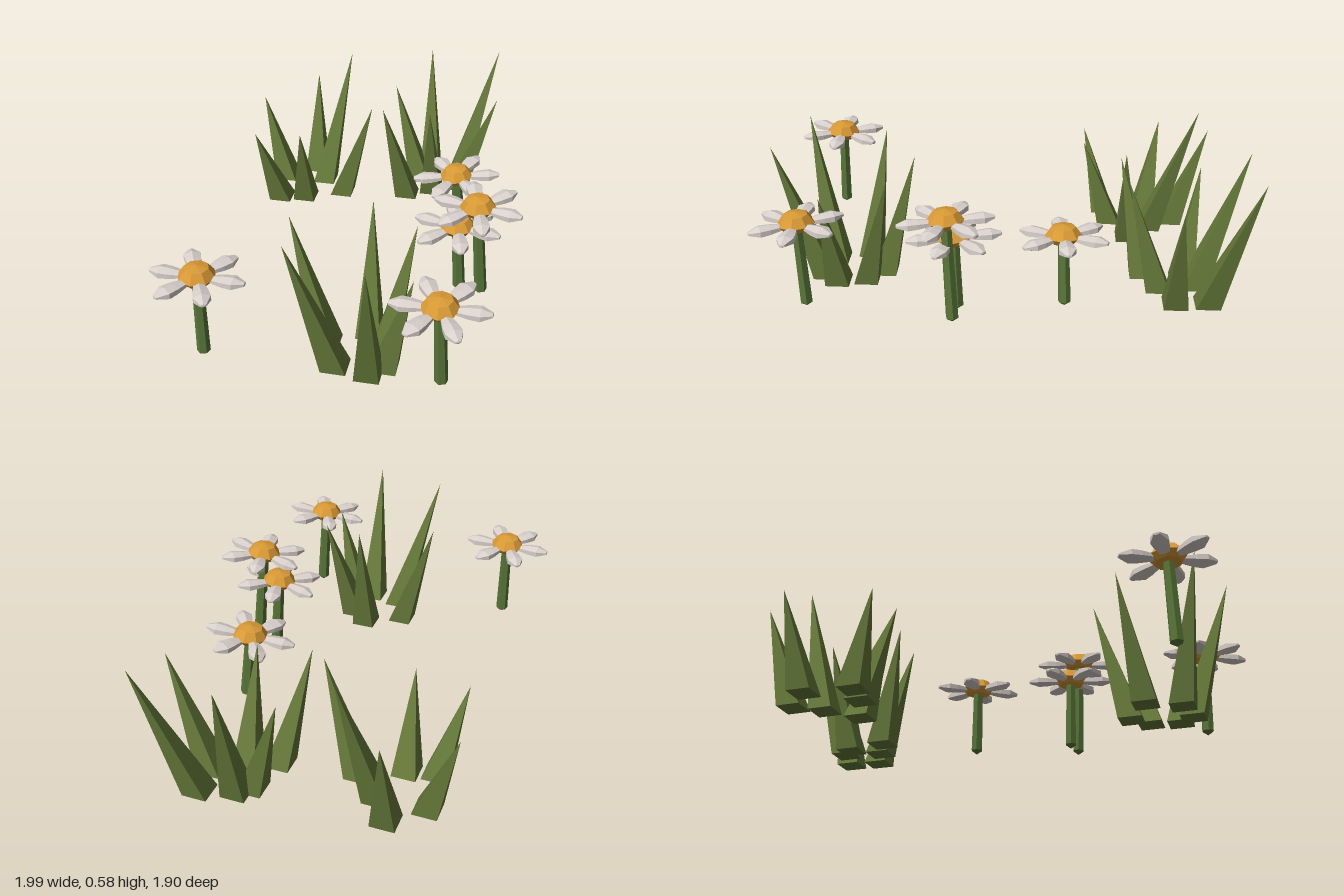
import * as THREE from 'three';

const mat = (name, color) => {
  const m = new THREE.MeshStandardMaterial({ color, flatShading: true });
  m.name = name;
  return m;
};

export function createModel() {
  const model = new THREE.Group();
  model.name = 'daisyMeadow';
  const grass = mat('grassGreen', 0x667a3a);
  const stemGreen = mat('stemGreen', 0x587638);
  const white = mat('petalWhite', 0xd9d0cc);
  const orange = mat('centreOrange', 0xd99a35);

  const add = (parent, name, geometry, material) => {
    const mesh = new THREE.Mesh(geometry, material);
    mesh.name = name;
    parent.add(mesh);
    return mesh;
  };
  const lathe = (points, sides) =>
    new THREE.LatheGeometry(points.map(([r, y]) => new THREE.Vector2(r, y)), sides);

  // Grass blade: four-sided spike on the ground, sheared towards its tip
  const blade = (bx, bz, tx, tz, h) => {
    const g = new THREE.ConeGeometry(0.067, h, 4);
    g.translate(0, h / 2, 0);
    const p = g.attributes.position;
    for (let i = 0; i < p.count; i++) {
      const t = p.getY(i) / h;
      p.setX(i, p.getX(i) + bx + (tx - bx) * t);
      p.setZ(i, p.getZ(i) + bz + (tz - bz) * t);
    }
    g.computeVertexNormals();
    return g;
  };

  // Each blade: base x, base z, tip x, tip z, height
  const clumps = {
    leftGrassClump: [
      [-0.4, 0.33, -0.46, 0.18, 0.5], [-0.24, 0.375, -0.155, 0.27, 0.51],
      [-0.45, 0.465, -0.63, 0.435, 0.58], [-0.235, 0.47, -0.09, 0.46, 0.48],
      [-0.375, 0.57, -0.48, 0.71, 0.57], [-0.3, 0.565, -0.25, 0.66, 0.42],
    ],
    backGrassClump: [
      [0.09, -0.834, 0.05, -0.955, 0.38], [0.25, -0.825, 0.335, -0.935, 0.43],
      [0.225, -0.71, 0.41, -0.755, 0.585], [-0.027, -0.685, -0.15, -0.68, 0.36],
      [0.23, -0.567, 0.31, -0.44, 0.46], [0.065, -0.625, -0.01, -0.53, 0.38],
    ],
    rightGrassClump: [
      [0.61, -0.47, 0.555, -0.605, 0.44], [0.67, -0.47, 0.77, -0.62, 0.57],
      [0.79, -0.405, 0.99, -0.4, 0.585], [0.71, -0.31, 0.81, -0.187, 0.47],
      [0.585, -0.35, 0.49, -0.256, 0.46], [0.47, -0.385, 0.33, -0.385, 0.47],
    ],
  };
  for (const [name, blades] of Object.entries(clumps)) {
    const clump = new THREE.Group();
    clump.name = name;
    blades.forEach((b) => add(clump, 'grassBlade', blade(...b), grass));
    model.add(clump);
  }

  // Petal: flattened six-sided bud pointing along +x
  const petal = lathe([[0, 0.035], [0.018, 0.045], [0.032, 0.1], [0.036, 0.138], [0.012, 0.178], [0, 0.18]], 6);
  petal.scale(1, 1, 0.58);
  petal.rotateX(Math.PI / 2);
  petal.rotateY(Math.PI / 2);

  // Faceted flower centre
  const centre = lathe([[0, -0.018], [0.05, -0.018], [0.07, 0.006], [0.046, 0.04], [0, 0.05]], 8);

  // Each flower: foot x, foot z, head height, first petal angle, tilt x, tilt z
  const flowers = [
    [-0.83, 0.165, 0.363, 12, -0.02, -0.02],
    [0.455, 0.04, 0.308, 21, -0.04, 0.1],
    [0.255, 0.43, 0.43, -3, -0.02, 0.09],
    [0.2, 0.36, 0.322, -3, -0.02, 0.07],
    [-0.2, 0.775, 0.368, 12, 0, 0.06],
  ];
  for (const [x, z, h, angle, tiltX, tiltZ] of flowers) {
    const flower = new THREE.Group();
    flower.name = 'flower';
    flower.position.set(x, 0, z);
    flower.rotation.set(tiltX, 0, tiltZ);

    // Stem with a pointed foot
    add(flower, 'stem', lathe([[0, 0.022], [0.025, 0.04], [0.021, h - 0.015], [0, h - 0.015]], 6), stemGreen);

    const head = new THREE.Group();
    head.name = 'flowerHead';
    head.position.y = h;
    add(head, 'flowerCentre', centre, orange);
    for (let i = 0; i < 6; i++) {
      const m = add(head, 'petal', petal, white);
      m.rotation.y = ((angle + i * 60) * Math.PI) / 180;
    }
    flower.add(head);
    model.add(flower);
  }
  return model;
}
